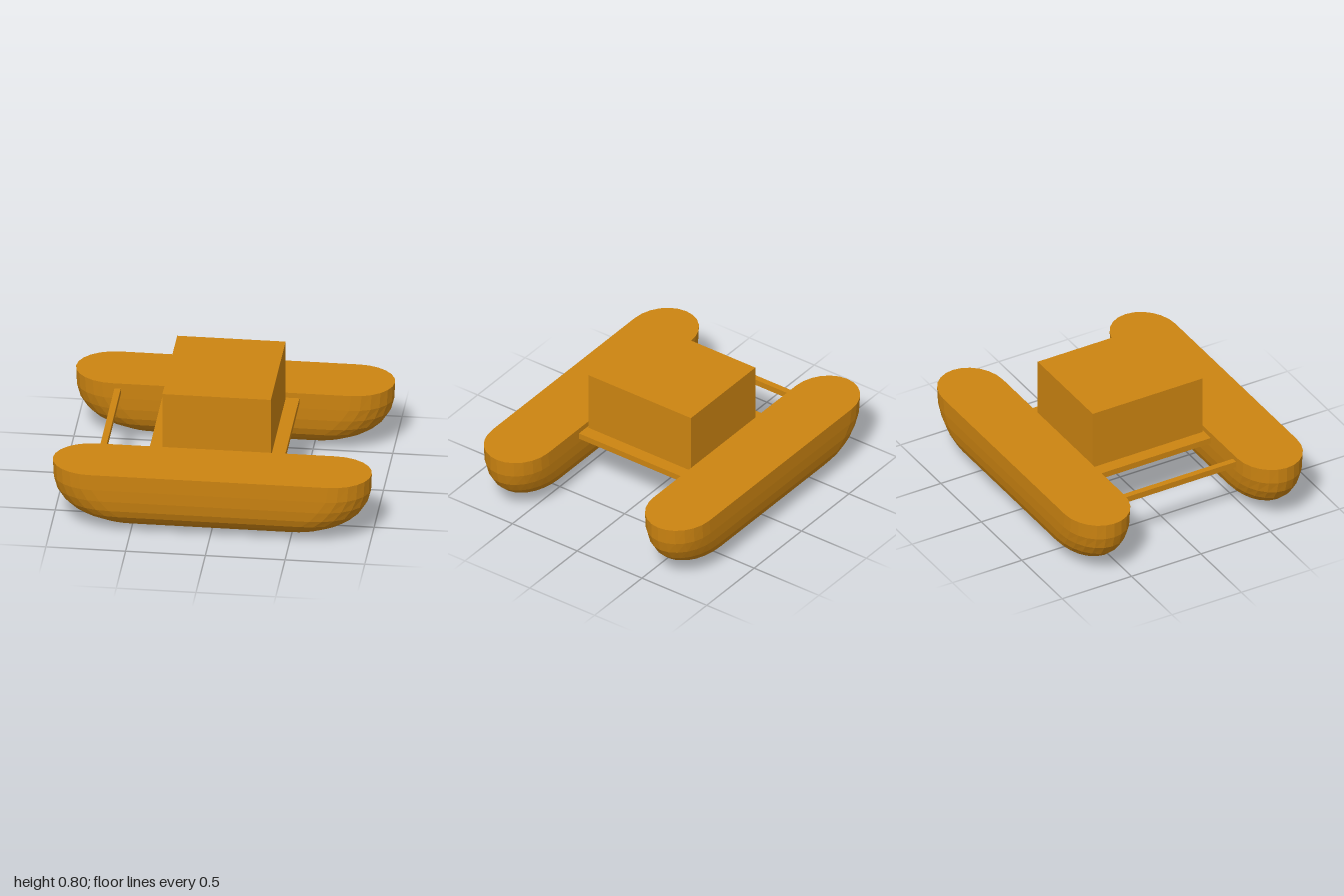
import * as THREE from 'three';

const material = new THREE.MeshStandardMaterial({ color: 0xcc8411, flatShading: true });

function box(name, [x0, x1], [y0, y1], [z0, z1]) {
  const mesh = new THREE.Mesh(new THREE.BoxGeometry(x1 - x0, y1 - y0, z1 - z0), material);
  mesh.position.set((x0 + x1) / 2, (y0 + y1) / 2, (z0 + z1) / 2);
  mesh.name = name;
  return mesh;
}

// Waterlines from keel to deck: height, half length, half width, length of the rounded end
const WATERLINES = [
  [0.0, 0.25, 0, 0.02],
  [0.02, 0.6, 0.04, 0.12],
  [0.045, 0.7, 0.088, 0.2],
  [0.09, 0.81, 0.145, 0.27],
  [0.13, 0.875, 0.177, 0.3],
  [0.18, 0.93, 0.197, 0.3],
  [0.25, 0.975, 0.209, 0.29],
  [0.33, 0.996, 0.214, 0.26],
  [0.435, 1, 0.215, 0.25],
];

// Round-ended outlines stacked into a boat hull with a flat deck
function hullGeometry() {
  const steps = 12; // segments around each rounded end
  const count = 2 * (steps + 1);
  const positions = [];
  const indices = [];
  for (const [y, length, width, end] of WATERLINES) {
    for (const side of [1, -1]) {
      for (let i = 0; i <= steps; i++) {
        const a = -Math.PI / 2 + (Math.PI * i) / steps;
        positions.push(side * (length - end + end * Math.cos(a)), y, side * width * Math.sin(a));
      }
    }
  }
  const top = (WATERLINES.length - 1) * count;
  const centre = positions.length / 3;
  positions.push(0, WATERLINES[WATERLINES.length - 1][0], 0);
  for (let i = 0; i < count; i++) {
    const j = (i + 1) % count;
    for (let r = 0; r < top; r += count) {
      indices.push(r + i, r + count + i, r + j, r + j, r + count + i, r + count + j);
    }
    indices.push(centre, top + j, top + i);
  }
  const geometry = new THREE.BufferGeometry();
  geometry.setAttribute('position', new THREE.Float32BufferAttribute(positions, 3));
  geometry.setIndex(indices);
  const flat = geometry.toNonIndexed();
  flat.computeVertexNormals();
  return flat;
}

export function createModel() {
  const group = new THREE.Group();
  group.name = 'catamaran';

  // Twin hulls
  const hull = hullGeometry();
  for (const [name, z] of [['frontHull', 0.622], ['backHull', -0.622]]) {
    const mesh = new THREE.Mesh(hull, material);
    mesh.name = name;
    mesh.position.z = z;
    group.add(mesh);
  }

  // Bridge deck, cabin and cross bar
  group.add(
    box('deck', [-0.425, 0.425], [0.36, 0.4], [-0.415, 0.415]),
    box('cabin', [-0.34, 0.34], [0.4, 0.8], [-0.395, 0.395]),
    box('crossBar', [-0.735, -0.695], [0.36, 0.4], [-0.42, 0.42]),
  );
  return group;
}
